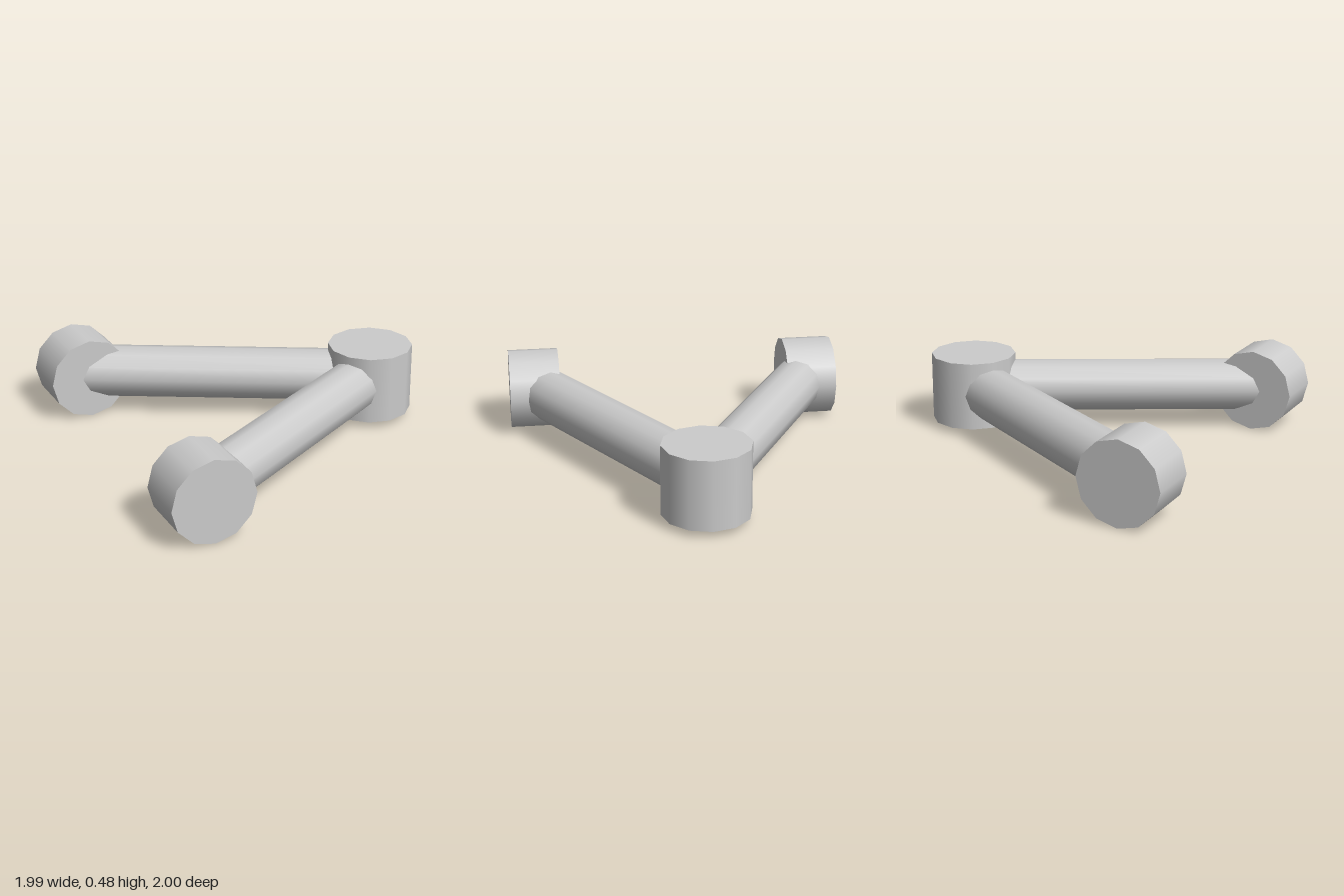
import * as THREE from 'three';

const SIDES = 12;
const MID_Y = 0.24;
const HUB_X = 0.745;
const PIVOT = { x: -0.757, z: 0.85 };

export function createModel() {
  const model = new THREE.Group();
  const material = new THREE.MeshStandardMaterial({ color: 0xcccccc });

  const addCylinder = (name, radius, length, x, z) => {
    const mesh = new THREE.Mesh(new THREE.CylinderGeometry(radius, radius, length, SIDES), material);
    mesh.name = name;
    mesh.position.set(x, MID_Y, z);
    model.add(mesh);
    return mesh;
  };

  // Upright hub where both arms meet
  addCylinder('hub', 0.249, 0.4, HUB_X, 0);

  for (const [label, side] of [['front', 1], ['back', -1]]) {
    // Bushing lying along z at the end of the arm
    addCylinder(label + 'Bushing', 0.24, 0.3, PIVOT.x, side * PIVOT.z).rotation.x = Math.PI / 2;

    // Arm running from the hub centre to the bushing centre
    const dx = PIVOT.x - HUB_X;
    const dz = side * PIVOT.z;
    const arm = addCylinder(label + 'Arm', 0.155, Math.hypot(dx, dz), HUB_X + dx / 2, dz / 2);
    arm.geometry.rotateZ(Math.PI / 2);
    arm.rotation.y = Math.atan2(-dz, dx);
  }
  return model;
}
